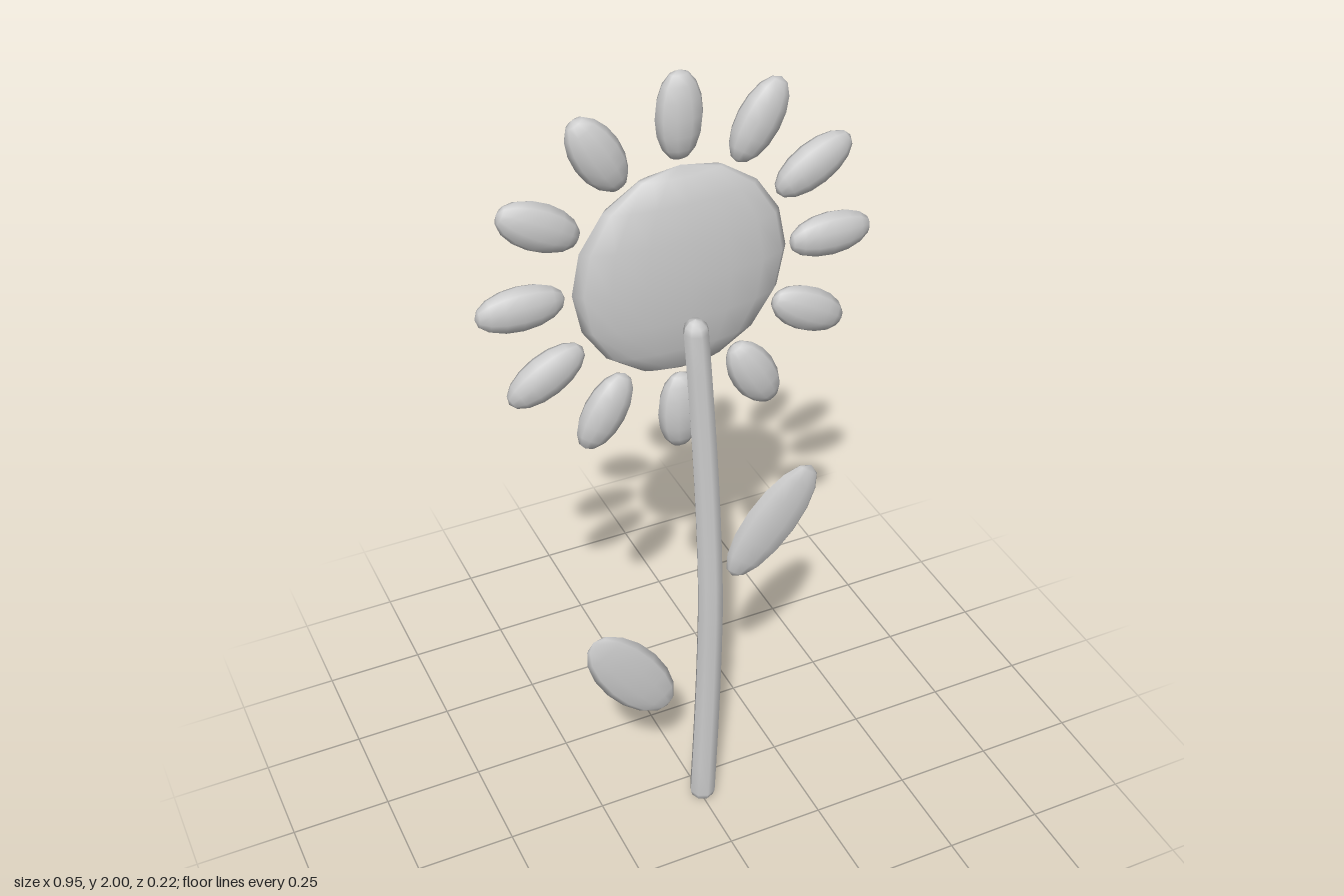
import * as THREE from 'three';

export function createModel() {
  const flower = new THREE.Group();
  flower.name = 'flower';
  const clay = new THREE.MeshStandardMaterial({ color: 0xcccccc });
  clay.name = 'light grey';

  // Ellipsoid whose poles lie along its long axis, turned in the xy plane
  function ellipsoid(name, [x, y, z], [length, width, depth], angle, sides = 10) {
    const geometry = new THREE.SphereGeometry(1, sides, 8);
    geometry.rotateZ(-Math.PI / 2);
    geometry.scale(length, width, depth);
    const mesh = new THREE.Mesh(geometry, clay);
    mesh.name = name;
    mesh.position.set(x, y, z);
    mesh.rotation.z = angle;
    flower.add(mesh);
  }

  // Flower head with a ring of twelve petals
  const headY = 1.527, headZ = -0.053;
  ellipsoid('flowerHead', [0.003, headY, headZ], [0.256, 0.256, 0.056], Math.PI / 2, 16);
  for (let i = 0; i < 12; i++) {
    const a = (i * Math.PI) / 6;
    const centre = [0.371 * Math.cos(a), headY + 0.371 * Math.sin(a), headZ];
    ellipsoid('petal' + (i + 1), centre, [0.102, 0.055, 0.033], a);
  }

  // Two leaves at staggered heights
  ellipsoid('leftLeaf', [0.182, 0.852, 0.068], [0.168, 0.077, 0.023], 0.92);
  ellipsoid('rightLeaf', [-0.188, 0.5, 0.068], [0.17, 0.077, 0.021], 2.16);

  // Round-ended stem, bowed sideways and leaning back above the middle
  const radius = 0.031, height = 1.447;
  const stemGeometry = new THREE.CapsuleGeometry(radius, height - 2 * radius, 3, 8, 14);
  stemGeometry.translate(0, height / 2, 0);
  const p = stemGeometry.attributes.position;
  for (let i = 0; i < p.count; i++) {
    const y = p.getY(i);
    const bow = 0.02 * Math.sin((Math.PI * y) / height);
    const t = Math.max(0, y - 0.66) / (height - 0.66);
    const lean = 0.075 - 0.047 * Math.pow(t, 1.15);
    const taper = 1.08 - (0.12 * y) / height;
    p.setXYZ(i, p.getX(i) * taper + bow, y, p.getZ(i) * taper + lean);
  }
  stemGeometry.computeVertexNormals();
  const stem = new THREE.Mesh(stemGeometry, clay);
  stem.name = 'stem';
  flower.add(stem);

  return flower;
}
